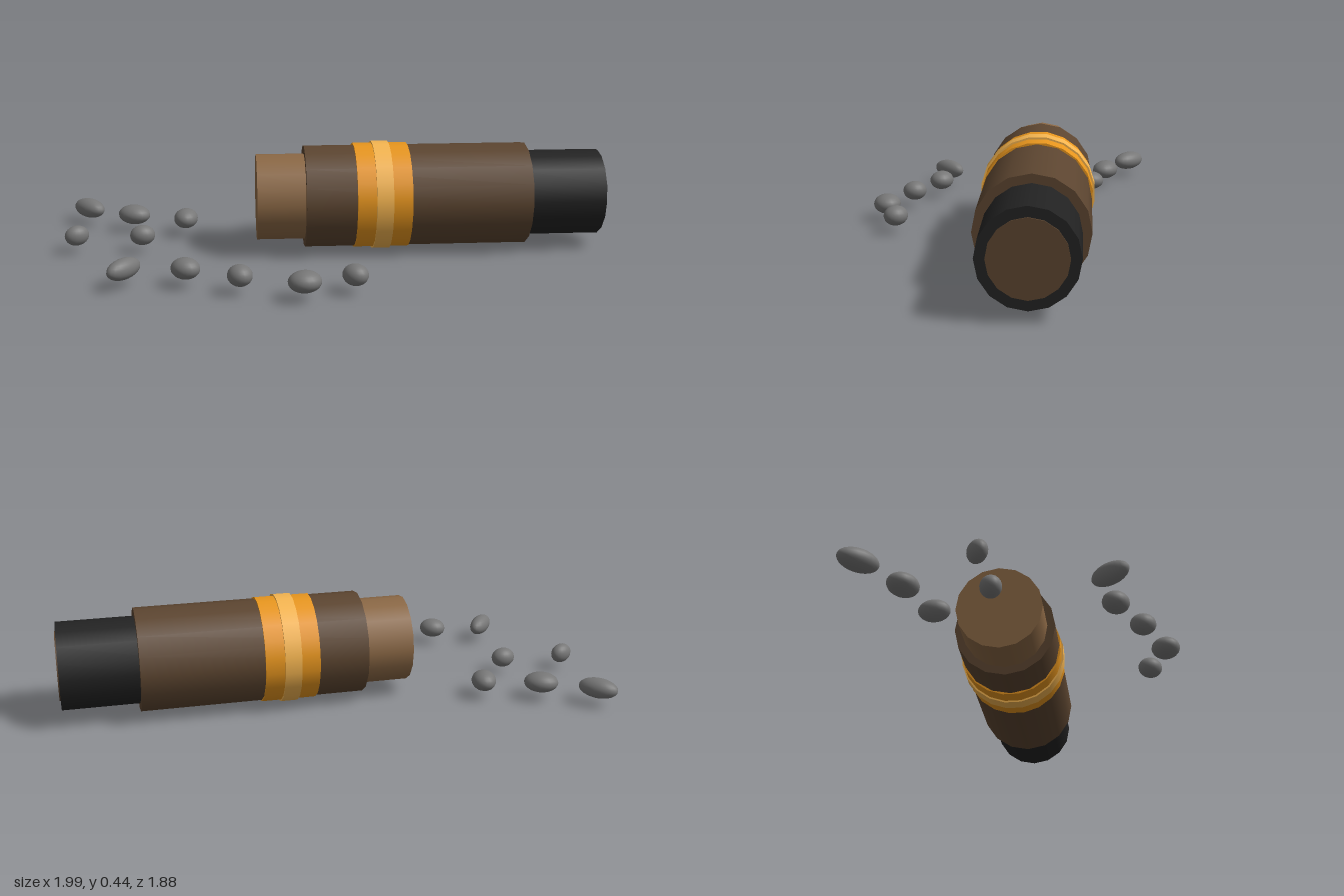
import * as THREE from 'three';

export function createModel() {
  const model = new THREE.Group();
  const mat = (color) => new THREE.MeshStandardMaterial({ color });

  // Log lying diagonally; its local y runs from the pale end to the charred end
  const log = new THREE.Group();
  log.name = 'log';
  log.position.set(-0.127, 0.225, 0.172);
  log.quaternion.setFromUnitVectors(
    new THREE.Vector3(0, 1, 0), new THREE.Vector3(1, 0, -1).normalize());
  model.add(log);

  // Solid round section between two distances along the log
  function section(name, radius, from, to, color, sides = 16) {
    const mesh = new THREE.Mesh(
      new THREE.CylinderGeometry(radius, radius, to - from, sides), mat(color));
    mesh.name = name;
    mesh.position.y = (from + to) / 2;
    log.add(mesh);
  }
  section('cutEnd', 0.175, 0, 0.25, 0x8b6845);
  section('bark', 0.208, 0.194, 1.1, 0x5c4530);
  section('charredEnd', 0.175, 1.05, 1.405, 0x222222);
  section('core', 0.138, 1.35, 1.41, 0x5c4530);
  section('emberBand', 0.214, 0.395, 0.614, 0xe8961e, 20);
  section('glowBand', 0.221, 0.47, 0.537, 0xf5b550, 20);

  // Scattered pebbles: x, z, half length, half width, turn about y
  const pebbles = [
    [-0.915, 0.4, 0.083, 0.046, 0],
    [-0.69, 0.34, 0.07, 0.055, 0.35],
    [-0.48, 0.235, 0.062, 0.05, -0.9],
    [-0.435, 0.52, 0.051, 0.041, 1.0],
    [-0.63, 0.7, 0.051, 0.035, 1.3],
    [-0.165, 0.855, 0.083, 0.038, -1.47],
    [0.005, 0.7, 0.057, 0.05, 0.3],
    [0.215, 0.625, 0.051, 0.047, -0.4],
    [0.44, 0.52, 0.063, 0.056, 1.0],
    [0.53, 0.34, 0.051, 0.046, 0],
  ];
  const ball = new THREE.SphereGeometry(1, 20, 14);
  const stone = mat(0x777777);
  for (const [x, z, a, b, turn] of pebbles) {
    const pebble = new THREE.Mesh(ball, stone);
    pebble.name = 'pebble';
    pebble.position.set(x, 0.08, z);
    pebble.scale.set(a, 0.041, b);
    pebble.rotation.y = turn;
    model.add(pebble);
  }
  return model;
}
